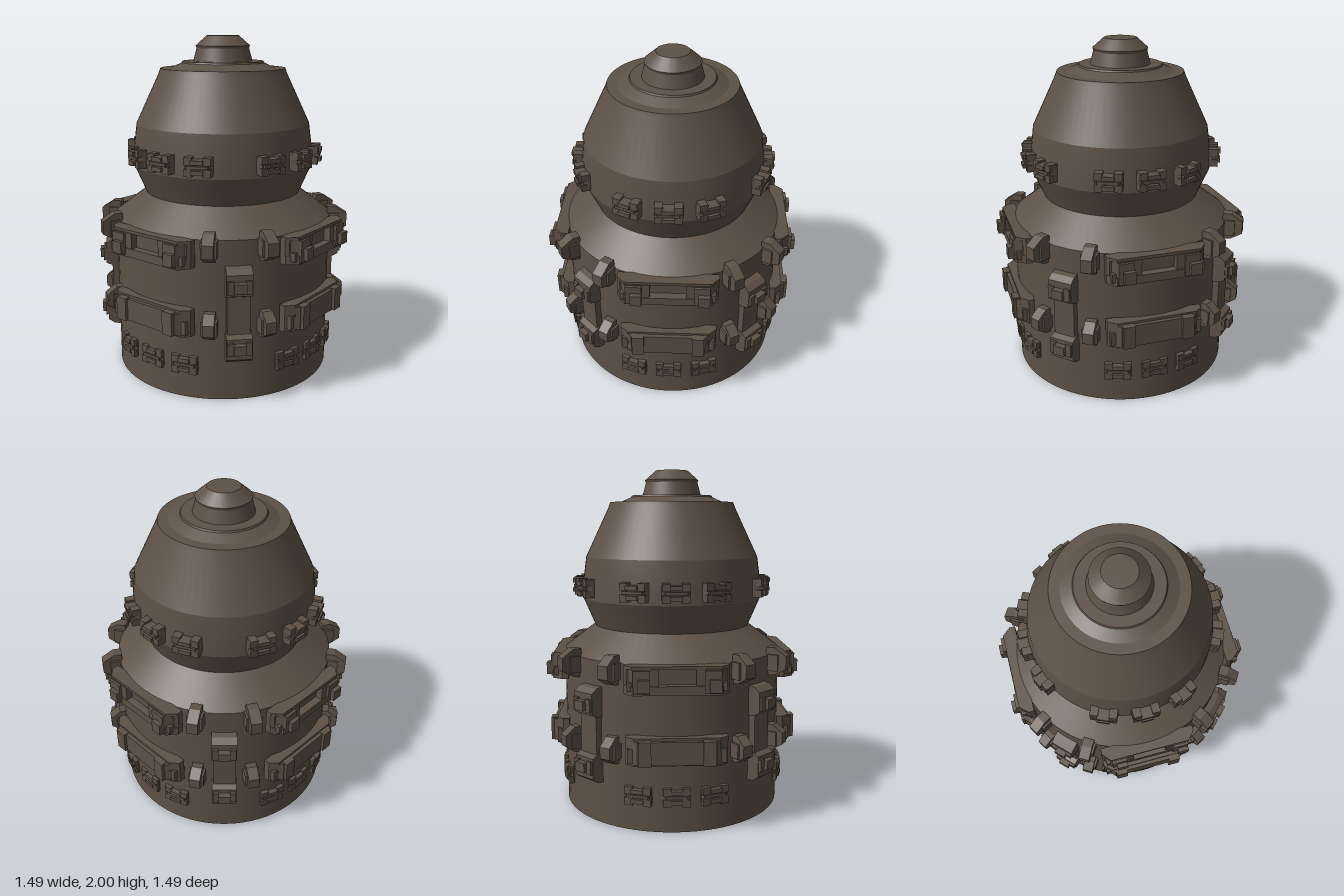
import * as THREE from 'three';
import { toCreasedNormals } from 'three/addons/utils/BufferGeometryUtils.js';

const brown = new THREE.MeshStandardMaterial({ color: 0x5c5146 });
brown.name = 'dark brown';

function add(parent, geometry, name) {
  const mesh = new THREE.Mesh(geometry, brown);
  mesh.name = name;
  parent.add(mesh);
  return mesh;
}

// Box given by its limits on each axis
function box(parent, name, x0, x1, y0, y1, z0, z1) {
  const g = new THREE.BoxGeometry(x1 - x0, y1 - y0, z1 - z0);
  g.translate((x0 + x1) / 2, (y0 + y1) / 2, (z0 + z1) / 2);
  return add(parent, g, name);
}

// Plan outline [x, z] raised from y0 to y1
function planPrism(parent, name, points, y0, y1) {
  const shape = new THREE.Shape(points.map(([x, z]) => new THREE.Vector2(x, -z)));
  const g = new THREE.ExtrudeGeometry(shape, { depth: y1 - y0, bevelEnabled: false });
  g.rotateX(-Math.PI / 2).translate(0, y0, 0);
  return add(parent, g, name);
}

// Side outline [z, y] with a width centred on x
function sidePrism(parent, name, points, width, x = 0) {
  const shape = new THREE.Shape(points.map(([z, y]) => new THREE.Vector2(-z, y)));
  const g = new THREE.ExtrudeGeometry(shape, { depth: width, bevelEnabled: false });
  g.rotateY(Math.PI / 2).translate(x - width / 2, 0, 0);
  return add(parent, g, name);
}

// Turn a part built facing +z around the axis
function around(parent, name, degrees, build) {
  const group = new THREE.Group();
  group.name = name;
  group.rotation.y = THREE.MathUtils.degToRad(degrees);
  build(group);
  parent.add(group);
}

// Symmetric tapered outline
const taper = (w0, z0, w1, z1, zk = z0 + 0.02) =>
  [[-w0, z0], [w0, z0], [w0, zk], [w1, z1], [-w1, z1], [-w0, zk]];

// Small clip at height y, on a surface of radius r
function clip(g, y, r, depth) {
  planPrism(g, 'clipBase', taper(0.078, r - 0.025, 0.065, r + depth * 0.55, r + 0.005), y - 0.04, y + 0.04);
  for (const s of [-1, 1]) {
    for (const t of [-1, 1]) {
      const cx = s * 0.053, cy = y + t * 0.032;
      box(g, 'clipTab', cx - 0.023, cx + 0.023, cy - 0.021, cy + 0.021, r - 0.02, r + depth * 0.75);
    }
    box(g, 'clipBar', -0.035, 0.035, y + s * 0.028 - 0.012, y + s * 0.028 + 0.012, r - 0.02, r + depth);
  }
  box(g, 'clipCross', -0.06, 0.06, y - 0.008, y + 0.008, r, r + depth * 0.85);
}

// Wide clamp below the shoulder
function upperClamp(g) {
  planPrism(g, 'clampBack', taper(0.285, 0.615, 0.27, 0.665, 0.645), 0.79, 0.945);
  planPrism(g, 'clampLowerLip', taper(0.285, 0.62, 0.24, 0.71, 0.65), 0.79, 0.84);
  planPrism(g, 'clampUpperLip', taper(0.285, 0.62, 0.24, 0.70, 0.65), 0.927, 0.945);
  for (const s of [-1, 1]) {
    planPrism(g, 'clampEnd', [[s * 0.10, 0.65], [s * 0.27, 0.65], [s * 0.235, 0.705], [s * 0.10, 0.705]], 0.83, 0.93);
    const a = s * 0.19;
    box(g, 'clampFoot', a - 0.045, a + 0.045, 0.80, 0.925, 0.69, 0.72);
    box(g, 'clampProng', a - 0.02, a + 0.045, 0.81, 0.88, 0.70, 0.745);
    box(g, 'clampNotch', s * 0.255 - 0.012, s * 0.255 + 0.012, 0.81, 0.86, 0.64, 0.70);
  }
}

// Wide stepped bar around the middle
function lowerBar(g) {
  planPrism(g, 'barBack', taper(0.28, 0.615, 0.235, 0.69, 0.65), 0.395, 0.55);
  planPrism(g, 'barFace', taper(0.26, 0.63, 0.215, 0.712, 0.66), 0.405, 0.535);
  for (const s of [-1, 1]) {
    box(g, 'barRib', s * 0.175 - 0.035, s * 0.175 + 0.035, 0.405, 0.54, 0.69, 0.73);
    box(g, 'barEnd', s * 0.255 - 0.015, s * 0.255 + 0.015, 0.41, 0.49, 0.64, 0.685);
  }
}

// Upright bar with a hooked cap at each end
function uprightBar(g) {
  box(g, 'uprightPlate', -0.065, 0.065, 0.3, 0.74, 0.63, 0.69);
  for (const s of [-1, 1]) {
    const y = (d) => 0.52 + s * d;
    sidePrism(g, 'uprightCap', [[0.63, y(0.28)], [0.69, y(0.27)], [0.725, y(0.245)], [0.725, y(0.125)], [0.68, y(0.105)], [0.63, y(0.105)]], 0.145);
    const ys = [y(0.15), y(0.205)].sort((a, b) => a - b);
    box(g, 'uprightHook', -0.035, 0.035, ys[0], ys[1], 0.71, 0.76);
    for (const t of [-1, 1]) {
      box(g, 'uprightEar', t * 0.05 - 0.018, t * 0.05 + 0.018, ys[0] - 0.01, ys[1] + 0.01, 0.71, 0.74);
    }
  }
}

// Chamfered block with a narrower cheek plate
function block(g, y0, y1, tip) {
  sidePrism(g, 'blockBody', [[0.64, y0], [0.69, y0 + 0.005], [tip, y0 + 0.045], [tip, y1 - 0.045], [0.69, y1], [0.64, y1]], 0.064);
  box(g, 'blockCheek', -0.045, 0.045, y0 + 0.03, y1 - 0.04, 0.64, 0.715);
}

export function createModel() {
  const model = new THREE.Group();
  model.name = 'turnedVessel';

  // Turned body: drum, shoulder, waist, dome and cap
  const profile = [
    [0, 0], [0.655, 0], [0.655, 0.94], [0.47, 1.08], [0.54, 1.245], [0.537, 1.35],
    [0.518, 1.49], [0.383, 1.775], [0.37, 1.81], [0.31, 1.81], [0.245, 1.84],
    [0.24, 1.85], [0.175, 1.85], [0.155, 1.925], [0.16, 1.94], [0.095, 1.997], [0, 2],
  ].map(([r, y]) => new THREE.Vector2(r, y));
  add(model, toCreasedNormals(new THREE.LatheGeometry(profile, 72), 0.25), 'body');

  // Everything fixed to the body repeats on four sides
  for (let i = 0; i < 4; i++) {
    const a = i * 90;
    around(model, 'upperClamp', a, upperClamp);
    around(model, 'lowerBar', a, lowerBar);
    around(model, 'uprightBar', a + 45, uprightBar);
    for (const s of [-1, 0, 1]) {
      around(model, 'domeClip', a + s * 24, (g) => clip(g, 1.317, 0.54, 0.06));
      around(model, 'drumClip', a + s * 18.7, (g) => clip(g, 0.205, 0.652, s ? 0.034 : 0.026));
      if (s === 0) continue;
      around(model, 'upperBlock', a + s * 31.5, (g) => block(g, 0.82, 0.985, 0.76));
      around(model, 'lowerBlock', a + s * 31.5, (g) => block(g, 0.375, 0.53, 0.75));
    }
  }
  return model;
}
